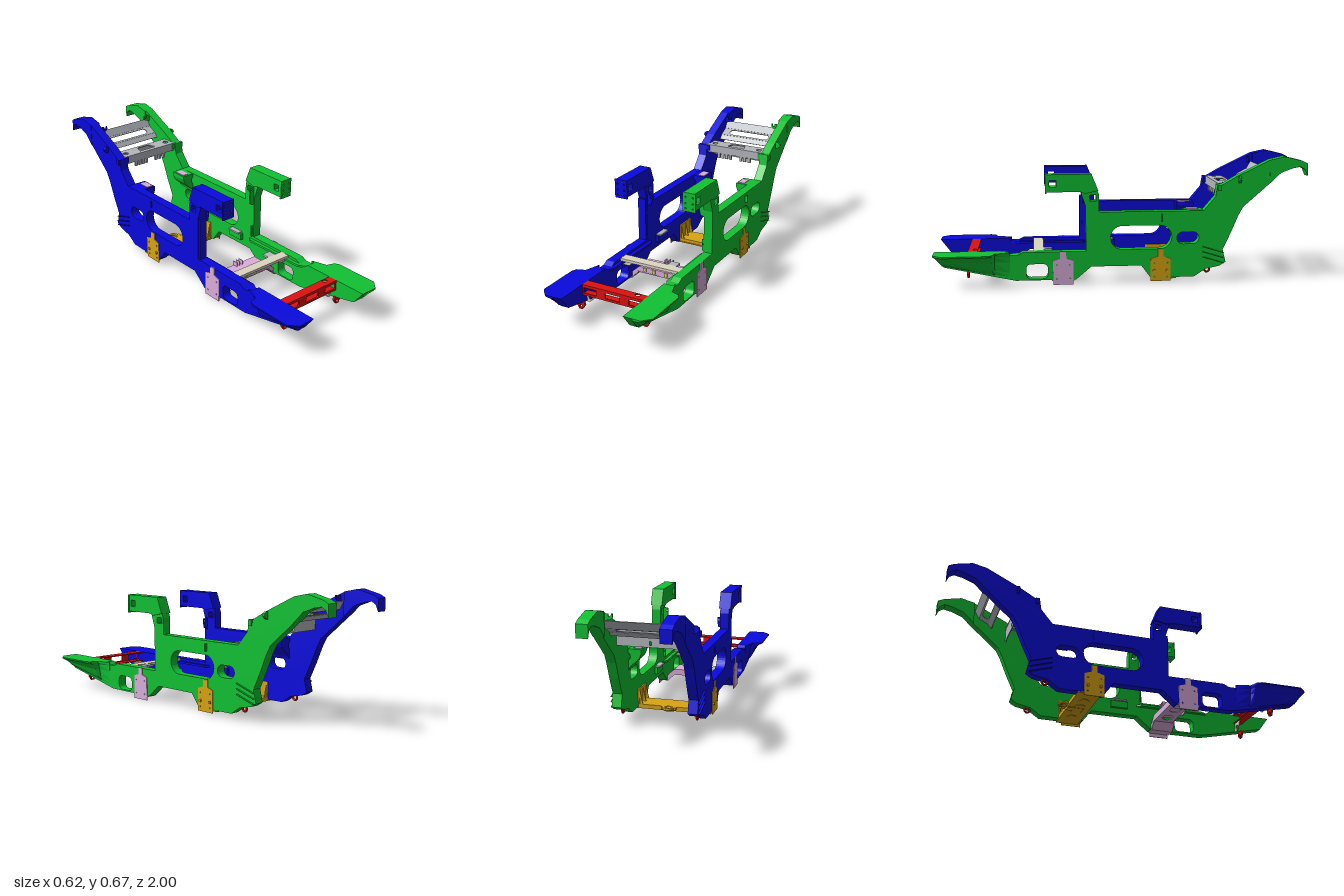
import * as THREE from 'three';

const GREEN = 0x10c234, BLUE = 0x0a0ade, RED = 0xdd1111, GOLD = 0xd9a514;
const LILAC = 0xdcaedc, BEIGE = 0xdcd5c0, GREY = 0xb4b8be, LIME = 0xd8d860;

// Rounded rectangle outline, also used for slots and round holes
function rr(cx, cy, w, h, r = Math.min(w, h) / 2, n = 8) {
  const pts = [];
  for (let c = 0; c < 4; c++) {
    const sx = c === 0 || c === 3 ? 1 : -1, sy = c < 2 ? 1 : -1;
    for (let i = 0; i <= n; i++) {
      const a = (c + i / n) * Math.PI / 2;
      pts.push([cx + sx * (w / 2 - r) + r * Math.cos(a), cy + sy * (h / 2 - r) + r * Math.sin(a)]);
    }
  }
  return pts;
}
const rect = (x0, y0, x1, y1) => [[x0, y0], [x1, y0], [x1, y1], [x0, y1]];

// Flared front foot, lofted through cross-sections [z, flare width, bottom height]
function footGeometry(s) {
  const rings = [[0.6, 0.004, 0.034], [0.68, 0.03, 0.051], [0.695, 0.075, 0.054], [0.72, 0.087, 0.06], [0.955, 0.087, 0.113], [1, 0.045, 0.168]]
    .map(([z, w, yb]) => [[0, 0.18], [w, 0.18], [w, 0.173],
      ...[[0.72, 1], [0.48, 0.73], [0.24, 0.3], [0.03, 0.1], [0, 0]].map(([k, f]) => [w * k, yb + (0.161 - Math.min(yb, 0.16)) * f])]
      .map(([dx, y]) => [s * (0.225 + dx), Math.min(y, 0.178 + (y > 0.179) * 0.002), z]));
  const n = rings[0].length, idx = [];
  const tri = (a, b, c) => (s > 0 ? idx.push(a, b, c) : idx.push(a, c, b));
  for (let r = 0; r < rings.length - 1; r++)
    for (let i = 0; i < n; i++) {
      const a = r * n + i, b = r * n + (i + 1) % n;
      tri(a, a + n, b);
      tri(b, a + n, b + n);
    }
  const e = (rings.length - 1) * n;
  for (let i = 1; i < n - 1; i++) {
    tri(0, i, i + 1);
    tri(e, e + i + 1, e + i);
  }
  const g = new THREE.BufferGeometry();
  g.setAttribute('position', new THREE.Float32BufferAttribute(rings.flat(2), 3));
  g.setIndex(idx);
  const flat = g.toNonIndexed();
  flat.computeVertexNormals();
  return flat;
}

export function createModel() {
  const root = new THREE.Group();
  const mats = {};
  const mat = (c) => (mats[c] ??= new THREE.MeshStandardMaterial({ color: c, flatShading: true, side: THREE.DoubleSide }));
  const add = (name, color, geo, parent = root) => {
    const m = new THREE.Mesh(geo, mat(color));
    m.name = name;
    parent.add(m);
    return m;
  };
  const vec = (pts) => pts.map(([a, b]) => new THREE.Vector2(a, b));

  // Plate between a and b along an axis; outline is (z,y), (x,z) or (x,y) for axis x, y or z
  const slab = (name, color, axis, pts, a, b, holes = [], parent = root) => {
    const lo = Math.min(a, b), hi = Math.max(a, b);
    const s = new THREE.Shape(vec(pts));
    holes.forEach((h) => s.holes.push(new THREE.Path(vec(h))));
    const g = new THREE.ExtrudeGeometry(s, { depth: hi - lo, bevelEnabled: false });
    if (axis === 'x') g.rotateY(-Math.PI / 2).translate(hi, 0, 0);
    else if (axis === 'y') g.rotateX(Math.PI / 2).translate(0, hi, 0);
    else g.translate(0, 0, lo);
    return add(name, color, g, parent);
  };
  const box = (name, color, x0, x1, y0, y1, z0, z1, parent = root) =>
    add(name, color, new THREE.BoxGeometry(Math.abs(x1 - x0), y1 - y0, z1 - z0)
      .translate((x0 + x1) / 2, (y0 + y1) / 2, (z0 + z1) / 2), parent);

  const armTip = [[-0.794, 0.658], [-0.874, 0.675], [-0.97, 0.652], [-1, 0.637], [-1, 0.57], [-0.985, 0.605], [-0.96, 0.62],
    [-0.917, 0.612], [-0.853, 0.588], [-0.794, 0.532]];
  const sideOutline = [[1, 0.18], [0.62, 0.18], [0.6, 0.165], [0.56, 0.165], [0.53, 0.18], [0.197, 0.18], [0.197, 0.42], [0.22, 0.49],
    [0.22, 0.59], [0.163, 0.588], [0.125, 0.48], [0.125, 0.39], [-0.436, 0.39], [-0.5, 0.465], [-0.51, 0.527], [-0.535, 0.527],
    [-0.607, 0.568], ...armTip, [-0.65, 0.406], [-0.625, 0.36], [-0.586, 0.267], [-0.543, 0.176], [-0.56, 0.107],
    [-0.527, 0.086], [-0.45, 0.07], [-0.39, 0.03], [-0.152, 0.027], [-0.1, 0.096], [0.168, 0.096], [0.25, 0.027],
    [0.57, 0.027], [0.945, 0.107]];
  const sideHoles = [rr(-0.1, 0.25, 0.33, 0.128), rr(-0.352, 0.243, 0.12, 0.065),
    rr(0.457, 0.075, 0.115, 0.08, 0.025), rr(0.158, 0.465, 0.034, 0.034, 0.004)];

  for (const s of [1, -1]) {
    const c = s > 0 ? GREEN : BLUE;
    const side = new THREE.Group();
    side.name = s > 0 ? 'leftSideFrame' : 'rightSideFrame';
    root.add(side);
    const S = (name, col, axis, pts, a, b, holes) => slab(name, col, axis, pts, a, b, holes, side);
    const B = (name, col, x0, x1, ...r) => box(name, col, s * x0, s * x1, ...r, side);
    const mx = (pts) => pts.map(([x, y]) => [s * x, y]);

    S('sideRail', c, 'x', sideOutline, s * 0.175, s * 0.226, sideHoles);
    add('frontFoot', c, footGeometry(s), side);
    S('railShelf', c, 'y', mx([[0.176, 0.165], [0.155, 0.19], [0.155, 0.56], [0.176, 0.6]]), 0.153, 0.165);

    // Forward-reaching bracket on top of the column
    S('columnHead', c, 'x', [[0.402, 0.5], [0.402, 0.593], [0.165, 0.593], [0.13, 0.505], [0.2, 0.49], [0.225, 0.5]],
      s * 0.168, s * 0.234, [rr(0.37, 0.545, 0.036, 0.036, 0.004)]);
    const bolts = [];
    for (const x of [0.182, 0.223]) for (const y of [0.51, 0.537, 0.57]) bolts.push(mx(rr(x, y, 0.009, 0.009)));
    S('headPlate', c, 'z', mx(rect(0.165, 0.492, 0.238, 0.594)), 0.402, 0.41, bolts);
    const top = s > 0 ? 0.485 : 0.447;
    S('columnFlange', c, 'z', mx([[0.176, 0.38], [0.152, 0.388], [0.147, 0.41], [0.147, top - 0.005], [0.176, top]]), 0.185, 0.192,
      [mx(rr(0.155, top - 0.02, 0.01, 0.01))]);
    if (s > 0) S('columnFootFlange', c, 'z', rect(0.163, 0.185, 0.176, 0.25), 0.185, 0.192, [rr(0.169, 0.222, 0.007, 0.007)]);
    else B('columnEdge', c, 0.178, 0.224, 0.18, 0.42, 0.19, 0.21);

    // Inner curved mount and its pad
    S('innerMount', c, 'z', mx([[0.176, 0.389], [0.105, 0.387], [0.105, 0.366], [0.113, 0.345], [0.128, 0.326], [0.152, 0.305],
      [0.168, 0.288], [0.176, 0.27], [0.176, 0.328], [0.167, 0.335], [0.163, 0.347], [0.167, 0.36], [0.176, 0.368]]), -0.44, -0.34);
    B('mountPad', LILAC, 0.112, 0.152, 0.386, 0.391, -0.42, -0.352);
    B('smallPad', GREY, 0.146, 0.178, 0.168, 0.177, 0.02, 0.1);
    B('smallPadWeb', c, 0.158, 0.178, 0.13, 0.168, 0.01, 0.11);

    // Rear arm tip, hook and outer boss
    S('armTip', c, 'x', armTip, s * 0.167, s * 0.228);
    S('armHook', c, 'z', mx([[0.18, 0.605], [0.145, 0.612], [0.135, 0.622], [0.135, 0.64], [0.142, 0.64], [0.144, 0.628],
      [0.155, 0.625], [0.156, 0.64], [0.18, 0.64]]), -0.77, -0.763);
    S('armBoss', c, 'z', mx([[0.224, 0.535], [0.24, 0.54], [0.255, 0.555], [0.252, 0.565], [0.24, 0.575], [0.224, 0.575]]), -0.635, -0.622);
    B('armShoulder', c, 0.16, 0.234, 0.495, 0.526, -0.532, -0.512);
    B('sideTab', c, 0.224, s > 0 ? 0.24 : 0.231, 0.335, 0.375, -0.215, -0.208);
    for (let i = 0; i < 3; i++) {
      const rib = B('rearRib', c, 0.222, 0.236, -0.002, 0.002, -0.06, 0.06);
      rib.position.set(0, 0.12 + i * 0.028, -0.49);
      rib.rotation.x = -0.3;
    }

    // Outer hanger plates of the two lower crossmembers
    const hanger = (z, w, y0, y1) => [[z - w, y0], [z + w, y0], [z + w, y1], [z + 0.016, y1 + 0.012], [z + 0.016, 0.182],
      [z - 0.016, 0.182], [z - 0.016, y1 + 0.012], [z - w, y1]];
    for (const [col, z, name] of [[LILAC, 0.318, 'frontHanger'], [GOLD, -0.205, 'rearHanger']]) {
      const holes = [];
      for (const dz of [-0.035, 0.035]) for (const y of [0.035, 0.11]) holes.push(rr(z + dz, y, 0.008, 0.008));
      S(name, col, 'x', hanger(z, 0.054, col === LILAC ? 0.001 : 0.01, 0.132), s * 0.226, s * 0.23, holes);
    }
    for (const z of [-0.24, -0.17])
      add('hangerBolt', GOLD, new THREE.CylinderGeometry(0.008, 0.008, 0.01, 12).rotateZ(Math.PI / 2).translate(s * 0.232, 0.067, z), side);
    B('rearBracketWeb', GOLD, 0.168, 0.176, 0.03, 0.13, -0.29, -0.17);
    for (const z of [-0.285, -0.23, -0.178])
      S('rearBracketRib', GOLD, 'z', mx([[0.176, 0.03], [0.145, 0.03], [0.155, 0.06], [0.168, 0.13], [0.176, 0.13]]), z, z + 0.005);

    // Tow eyes
    S('frontTowEye', RED, 'z', mx([[0.168, 0.085], [0.208, 0.085], [0.212, 0.066], [0.198, 0.042], [0.18, 0.042], [0.163, 0.066]]),
      0.815, 0.827, [mx(rr(0.188, 0.057, 0.018, 0.018))]);
    add('rearTowEye', RED, new THREE.TorusGeometry(0.014, 0.006, 8, 20).rotateY(Math.PI / 2).translate(s * 0.2, 0.063, -0.462), side);

    // Gussets below the front beam and end braces of the middle beam
    S('frontGusset', BEIGE, 'z', mx([[0.176, 0.122], [0.108, 0.122], [0.128, 0.097], [0.16, 0.07], [0.176, 0.07]]), 0.782, 0.788,
      [mx(rr(0.153, 0.095, 0.024, 0.024))]);
    S('beamBrace', BEIGE, 'z', mx([[0.176, 0.168], [0.095, 0.168], [0.105, 0.158], [0.14, 0.133], [0.176, 0.133]]), 0.444, 0.45);
  }

  // Front beam
  slab('frontBeam', RED, 'z', rect(-0.176, 0.122, 0.176, 0.18), 0.815, 0.823,
    [rr(0, 0.149, 0.086, 0.032, 0.004), rr(0.132, 0.149, 0.075, 0.032, 0.004), rr(-0.132, 0.149, 0.075, 0.032, 0.004)]);
  slab('frontBeamTop', RED, 'y', rect(-0.176, 0.772, 0.176, 0.822), 0.173, 0.18, [rr(0.125, 0.787, 0.03, 0.024)]);
  box('frontBeamBottom', RED, -0.176, 0.176, 0.122, 0.128, 0.775, 0.82);

  // Shallow middle crossmember with a small bracket
  box('middleBeamTop', BEIGE, -0.176, 0.176, 0.173, 0.179, 0.42, 0.475);
  for (const z of [0.42, 0.47]) box('middleBeamLip', BEIGE, -0.176, 0.176, 0.164, 0.175, z, z + 0.005);
  box('middleBracket', GREY, 0.08, 0.13, 0.166, 0.178, 0.375, 0.42);

  // Front lower crossmember: raised tray with sloped ends
  slab('trayTop', LILAC, 'y', rect(-0.13, 0.26, 0.13, 0.36), 0.09, 0.096);
  slab('trayBottom', LILAC, 'y', rect(-0.14, 0.255, 0.14, 0.365), 0.062, 0.067, [-0.06, 0.06].map((x) => rr(x, 0.31, 0.07, 0.055)));
  for (const z of [0.255, 0.358])
    slab('trayWeb', LILAC, 'z', [[-0.176, 0.03], [-0.165, 0.03], [-0.135, 0.064], [0.135, 0.064], [0.165, 0.03], [0.176, 0.03],
      [0.176, 0.055], [0.13, 0.096], [-0.13, 0.096], [-0.176, 0.055]], z, z + 0.006);
  for (const s of [1, -1])
    slab('trayEnd', LILAC, 'z', [[0.228, 0.022], [0.17, 0.022], [0.13, 0.062], [0.13, 0.068], [0.172, 0.028], [0.228, 0.028]]
      .map(([x, y]) => [s * x, y]), 0.258, 0.38);
  for (const x of [-0.094, -0.038, 0.038, 0.092]) box('trayTab', LIME, x - 0.009, x + 0.009, 0.071, 0.093, 0.362, 0.37);
  for (const x of [-0.02, 0, 0.02]) box('trayPost', LILAC, x - 0.002, x + 0.002, 0.094, 0.12, 0.25, 0.28);

  // Rear lower crossmember
  box('rearBeamTop', GOLD, -0.176, 0.176, 0.038, 0.045, -0.29, -0.17);
  box('rearBeamBottom', GOLD, -0.228, 0.228, 0.022, 0.027, -0.29, -0.165);
  for (const x of [-0.12, -0.04, 0.04, 0.12])
    add('rearBeamBoss', GOLD, new THREE.CylinderGeometry(0.027, 0.027, 0.004, 24).translate(x, 0.0215, -0.228));
  for (const z of [-0.29, -0.175]) box('rearBeamWeb', GOLD, -0.176, 0.176, 0.024, 0.042, z, z + 0.005);
  box('rearBeamTab', GOLD, -0.022, 0.022, 0.018, 0.024, -0.29, -0.2);
  add('rearLug', GOLD, new THREE.TorusGeometry(0.022, 0.009, 8, 24).rotateX(Math.PI / 2).translate(0, 0.04, -0.31));
  for (const s of [1, -1]) box('rearLugArm', GOLD, s * 0.02, s * 0.04, 0.032, 0.046, -0.31, -0.285);

  // Upper rear panel: slotted middle with steeper bands above and below
  const panel = slab('upperPanel', GREY, 'y', rect(-0.176, -0.031, 0.176, 0.031), -0.002, 0.002, [rr(0, 0, 0.26, 0.04)]);
  panel.position.set(0, 0.555, -0.737);
  panel.rotation.x = 0.464;
  slab('upperPanelLip', GREY, 'x', [[-0.785, 0.611], [-0.762, 0.571], [-0.765, 0.566], [-0.79, 0.609]], -0.176, 0.176);
  slab('upperPanelFoot', GREY, 'x', [[-0.711, 0.544], [-0.689, 0.518], [-0.694, 0.515], [-0.713, 0.539]], -0.176, 0.176);

  // Lower rear channel
  slab('channelTop', GREY, 'y', rect(-0.176, -0.612, 0.176, -0.52), 0.524, 0.53,
    [[[-0.055, -0.545], [0.055, -0.545], [0.04, -0.595], [-0.04, -0.595]], rr(0.145, -0.565, 0.032, 0.032), rr(-0.145, -0.565, 0.032, 0.032)]);
  box('channelFace', GREY, -0.19, 0.19, 0.484, 0.53, -0.526, -0.52);
  slab('channelSkirt', GREY, 'z', rect(-0.176, 0.447, 0.176, 0.526), -0.61, -0.605, [rr(0, 0.468, 0.011, 0.022)]);
  for (const x of [-0.1, -0.075, -0.05, -0.025, 0.045, 0.07, 0.1]) box('channelClip', GREY, x - 0.008, x + 0.008, 0.455, 0.488, -0.535, -0.522);

  return root;
}
